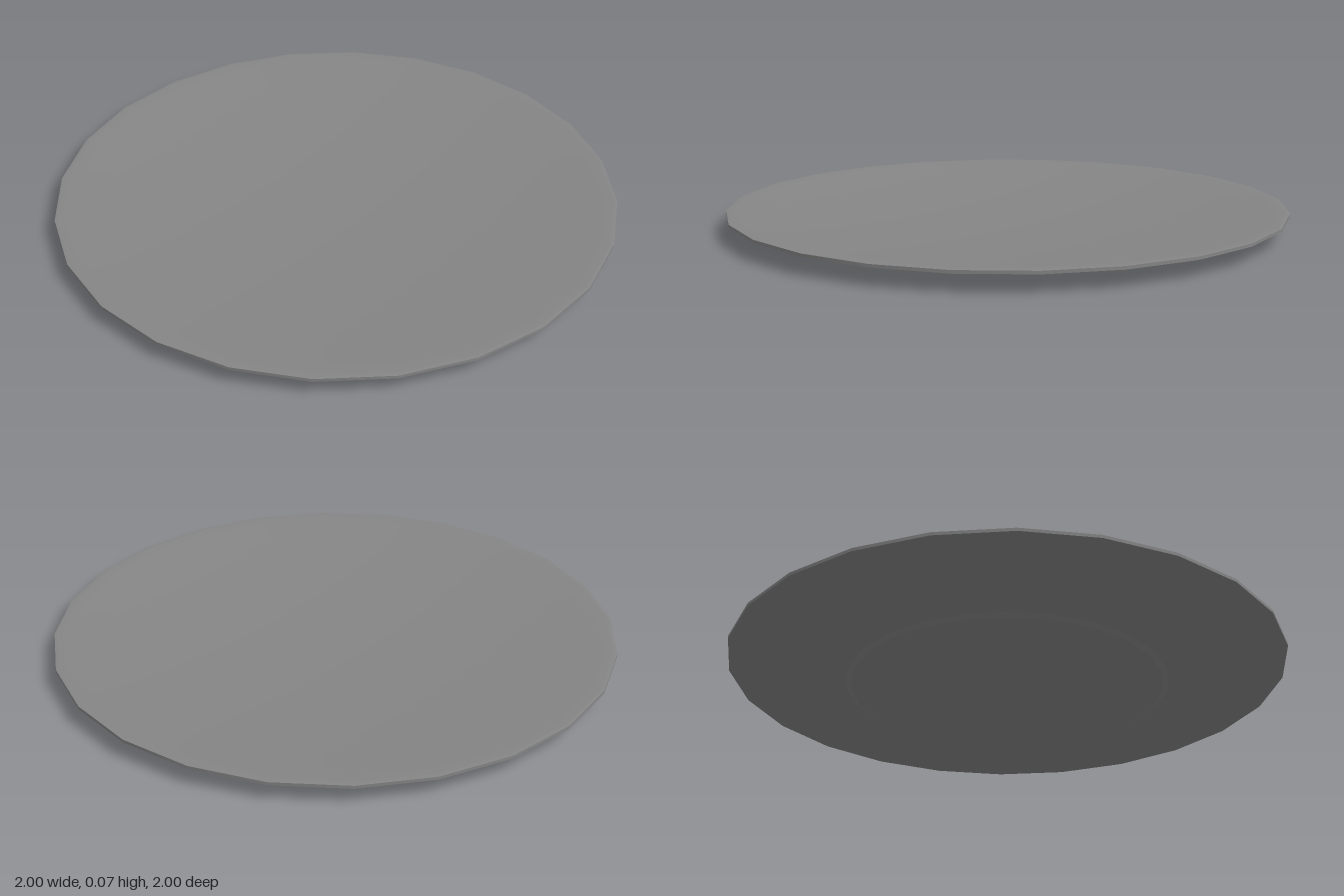
import * as THREE from 'three';

const SIDES = 24;

// Each band is lathed on its own, so its ends stay crisp and its inside is smooth.
function band(name, profile, material) {
  const points = profile.map(([r, y]) => new THREE.Vector2(r, y));
  const mesh = new THREE.Mesh(new THREE.LatheGeometry(points, SIDES), material);
  mesh.name = name;
  return mesh;
}

export function createModel() {
  const plate = new THREE.Group();
  plate.name = 'plate';
  const material = new THREE.MeshStandardMaterial({ color: 0x858585 });

  // Shallow dished top, running from the lip down to the centre
  const basin = [];
  for (let i = 0; i <= 8; i++) {
    const r = 0.94 * (1 - i / 8);
    basin.push([r, 0.025 + 0.045 * (r / 0.94) ** 2]);
  }

  plate.add(
    band('footBase', [[0, 0], [0.56, 0]], material),
    band('footWall', [[0.56, 0], [0.58, 0.01]], material),
    band('underside', [[0.58, 0.01], [0.8, 0.028], [1, 0.06]], material),
    band('rimEdge', [[1, 0.06], [1, 0.071]], material),
    // Softly rounded lip flowing into the dish
    band('basin', [[1, 0.071], [0.985, 0.073], ...basin], material),
  );
  return plate;
}
